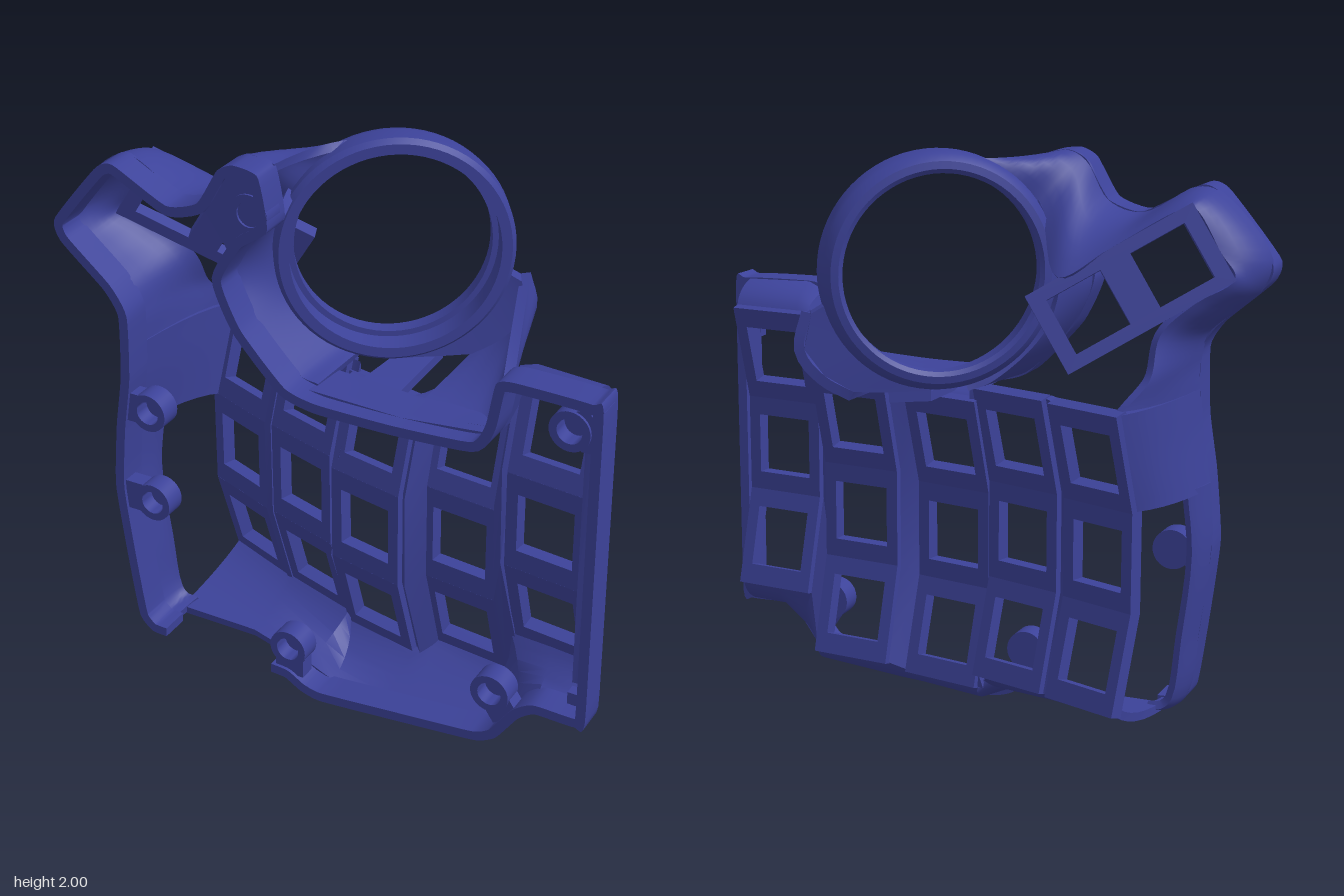
import * as THREE from 'three';
import { toCreasedNormals } from 'three/addons/utils/BufferGeometryUtils.js';

// Points default to the back edge of the base rim
const V = (x, y, z = 0.26) => new THREE.Vector3(x, y, z);

// Solid sheet: a grid of points (rows[j][i]) thickened by t against its normal.
function shellGeometry(rows, t) {
  const h = rows.length, w = rows[0].length, flat = rows.flat();
  const index = [];
  const quad = (a, b, c, d) => index.push(a, b, c, b, d, c);
  for (let j = 0; j < h - 1; j++)
    for (let i = 0; i < w - 1; i++) quad(j * w + i, j * w + i + 1, (j + 1) * w + i, (j + 1) * w + i + 1);
  const sheet = new THREE.BufferGeometry().setFromPoints(flat);
  sheet.setIndex([...index]);
  sheet.computeVertexNormals();
  const n = sheet.attributes.normal, N = w * h;
  const inner = flat.map((p, k) => p.clone().addScaledVector(new THREE.Vector3().fromBufferAttribute(n, k), -t));
  for (let j = 0; j < h - 1; j++)
    for (let i = 0; i < w - 1; i++) {
      const a = N + j * w + i;
      quad(a + 1, a, a + w + 1, a + w);
    }
  for (let i = 0; i < w - 1; i++) {
    quad(N + i, N + i + 1, i, i + 1);
    const a = (h - 1) * w + i;
    quad(a, a + 1, N + a, N + a + 1);
  }
  for (let j = 0; j < h - 1; j++) {
    const a = j * w, b = a + w - 1;
    quad(N + a, a, N + a + w, a + w);
    quad(b, N + b, b + w, N + b + w);
  }
  const g = new THREE.BufferGeometry().setFromPoints([...flat, ...inner]);
  g.setIndex(index);
  return toCreasedNormals(g, 0.6);
}

// Curved skirt from base points to edge points, bulging outwards (0.5 is straight).
function skirtGeometry(pairs, t = 0.03, smooth = 0, bulge = 0.75) {
  let base = pairs.map(p => p[0]), edge = pairs.map(p => p[1]);
  if (smooth) {
    const sample = pts => new THREE.CatmullRomCurve3(pts).getPoints((pts.length - 1) * smooth);
    base = sample(base);
    edge = sample(edge);
  }
  const rows = [];
  for (let j = 0; j <= 6; j++) {
    rows.push(base.map((b, i) => {
      const e = edge[i], mid = b.clone().lerp(e, 1 - bulge);
      mid.z = b.z + (e.z - b.z) * bulge;
      return new THREE.QuadraticBezierCurve3(b, mid, e).getPoint(j / 6);
    }));
  }
  return shellGeometry(rows, t);
}

// Rectangular plate with square key openings centred at the given x positions.
function keyPlateGeometry(w, h, centres, hw, hh, depth) {
  const rect = (Type, x, a, b) => new Type([[-a, -b], [a, -b], [a, b], [-a, b]].map(p => new THREE.Vector2(x + p[0], p[1])));
  const s = rect(THREE.Shape, 0, w / 2, h / 2);
  centres.forEach(x => s.holes.push(rect(THREE.Path, x, hw, hh)));
  return new THREE.ExtrudeGeometry(s, { depth, bevelEnabled: false });
}

export function createModel() {
  const model = new THREE.Group();
  model.name = 'keyboardCase';
  const blue = new THREE.MeshStandardMaterial({ color: 0x3c4299, side: THREE.DoubleSide });
  blue.name = 'indigoPlastic';
  const add = (name, geometry, parent = model) => {
    const m = new THREE.Mesh(geometry, blue);
    m.name = name;
    parent.add(m);
    return m;
  };

  // Key columns: x, y, z of the middle key and sideways tilt
  const columns = [
    [-0.53, 0.675, -0.045, 0.36], [-0.22, 0.68, 0.06, 0.3], [0.07, 0.635, 0.13, 0.2],
    [0.425, 0.675, 0.12, 0.1], [0.77, 0.87, 0.2, 0.1],
  ];
  const TILT = 0.26, PITCH = 0.35, HALF = 0.148;
  const endY = PITCH / 2 + PITCH * Math.cos(TILT), endZ = -PITCH * Math.sin(TILT);
  const profile = [[-endY, endZ], [-PITCH / 2, 0], [PITCH / 2, 0], [endY, endZ]];
  columns.forEach(([x, y, z, tilt], c) => {
    const column = new THREE.Group();
    column.name = 'keyColumn' + (c + 1);
    column.position.set(x, y, z);
    column.rotation.y = -tilt;
    model.add(column);
    for (const row of [-1, 0, 1]) {
      const g = keyPlateGeometry(HALF * 2, PITCH + 0.008, [0], 0.105, 0.107, 0.05);
      g.translate(0, 0, -0.025);
      const plate = add('keyPlate', g, column);
      plate.rotation.x = -row * TILT;
      const k = row * PITCH / 2;
      plate.position.set(0, k + k * Math.cos(TILT), -Math.abs(k) * Math.sin(TILT));
    }
  });
  // Point on a column edge: side -1 to 1, level 0 (bottom) to 3 (top)
  const edge = (c, side, level) => {
    const [x, y, z, a] = columns[c], [py, pz] = profile[level], s = side * HALF;
    return V(x + s * Math.cos(a) - pz * Math.sin(a), y + py, z + s * Math.sin(a) + pz * Math.cos(a));
  };
  const sideLine = (c, side) => [0, 1, 2, 3].map(l => edge(c, side, l));

  // Webs joining neighbouring columns
  for (let c = 0; c < 4; c++) add('columnWeb', shellGeometry([sideLine(c, 1), sideLine(c + 1, -1)], 0.03));

  // Wall from the last column's free side up to the rim
  add('outerColumnWall', shellGeometry([sideLine(4, 1), sideLine(4, 1).map(p => V(0.93, p.y, 0.27))], 0.02));

  // Base rim running clockwise round the case, open along the lower left edge
  const outline = [
    [-0.64, 0.06], [-0.7, 0.065], [-0.75, 0.12], [-0.785, 0.35], [-0.82, 0.65], [-0.8, 0.9], [-0.77, 1.1], [-0.765, 1.33],
    [-0.82, 1.42], [-0.98, 1.56], [-1, 1.64], [-0.82, 1.86], [-0.75, 1.885], [-0.55, 1.785], [-0.43, 1.82], [-0.35, 1.95],
    [-0.29, 1.98], [-0.2, 1.96], [-0.17, 1.78], [-0.27, 1.7], [-0.35, 1.56], [-0.28, 1.4], [-0.12, 1.23], [0, 1.2],
    [0.28, 1.2], [0.56, 1.22], [0.61, 1.3], [0.64, 1.45], [0.7, 1.47], [0.96, 1.465], [1, 1.42], [1, 0.3], [0.96, 0.25],
    [0.82, 0.25], [0.76, 0.21], [0.68, 0.1], [0.6, 0.06], [0.3, 0.03], [0, 0.003], [-0.08, 0.02], [-0.14, 0.055], [-0.2, 0.06],
  ];
  const loop = new THREE.CatmullRomCurve3(outline.map(p => V(p[0], p[1])), false, 'catmullrom', 0.25).getPoints(240);
  const rimRow = z => loop.map(p => V(Math.min(p.x, 1), Math.max(p.y, 0), z));
  add('baseRim', shellGeometry([rimRow(0.36), rimRow(0.3), rimRow(0.25)], 0.035));

  // Thumb plate with two keys, in its own tilted frame
  const u = V(0.8, -0.5, -0.43).normalize(), v = V(0.53, 0.85, 0).normalize();
  const n = u.clone().cross(v).normalize();
  v.copy(n).cross(u);
  const centre = V(-0.61, 1.575, -0.035);
  const thumb = new THREE.Group();
  thumb.name = 'thumbCluster';
  thumb.quaternion.setFromRotationMatrix(new THREE.Matrix4().makeBasis(u, v, n));
  thumb.position.copy(centre);
  model.add(thumb);
  add('thumbPlate', keyPlateGeometry(0.62, 0.29, [-0.155, 0.155], 0.1, 0.1, 0.05), thumb);
  const tp = (a, b) => centre.clone().addScaledVector(u, a * 0.31).addScaledVector(v, b * 0.145);

  // Tilted ball ring with an inner ledge
  const RING = V(0.035, 1.6, -0.1), YAW = 0.59;
  const ring = new THREE.Group();
  ring.name = 'ballRing';
  ring.position.copy(RING);
  ring.rotation.y = YAW;
  model.add(ring);
  const section = [[0.33, -0.05], [0.33, 0.005], [0.35, 0.005], [0.35, 0.09], [0.385, 0.09], [0.4, 0.07],
    [0.4, 0], [0.393, -0.03], [0.37, -0.055], [0.345, -0.06], [0.33, -0.05]];
  const lathe = new THREE.LatheGeometry(section.map(p => new THREE.Vector2(p[0], p[1])), 72);
  add('ringBand', toCreasedNormals(lathe, 0.6), ring).rotation.x = Math.PI / 2;
  const rp = (deg, r = 0.39) => {
    const a = deg * Math.PI / 180;
    return V(RING.x + r * Math.cos(a) * Math.cos(YAW), RING.y + r * Math.sin(a), RING.z - r * Math.cos(a) * Math.sin(YAW));
  };

  // Left side: low wall, then the shell sweeping round the thumb cluster to the ring
  add('leftWall', skirtGeometry([
    [V(-0.66, 0.06), V(-0.64, 0.08, 0.14)], [V(-0.71, 0.07), V(-0.69, 0.09, 0.14)], [V(-0.75, 0.12), V(-0.725, 0.13, 0.14)],
    [V(-0.785, 0.35), V(-0.755, 0.35, 0.14)], [V(-0.82, 0.65), V(-0.785, 0.65, 0.14)], [V(-0.81, 0.88), V(-0.77, 0.88, 0.12)],
  ], 0.03, 4));
  add('sideShell', skirtGeometry([
    [V(-0.81, 0.86), edge(0, -1, 2)],
    [V(-0.78, 1.05), edge(0, -1, 2).lerp(edge(0, -1, 3), 0.55)],
    [V(-0.765, 1.2), edge(0, -1, 3)],
  ], 0.03, 5));
  add('thumbShell', skirtGeometry([
    [V(-0.765, 1.2), V(-0.64, 1.2, -0.18)], [V(-0.765, 1.3), V(-0.7, 1.29, -0.09)],
    [V(-0.79, 1.39), tp(-0.1, -1).add(V(0, -0.04, 0))], [V(-0.88, 1.47), tp(-0.5, -1)],
    [V(-0.97, 1.55), tp(-1, -0.95)], [V(-1, 1.65), tp(-1, -0.3)],
    [V(-0.82, 1.865), tp(-0.98, 0.9)], [V(-0.74, 1.88), tp(-0.8, 1)],
    [V(-0.55, 1.785), tp(0, 1)], [V(-0.43, 1.82), tp(0.6, 1)],
    [V(-0.35, 1.95), rp(150)], [V(-0.29, 1.98), rp(130)], [V(-0.2, 1.965), rp(108)],
  ], 0.03, 6));

  // Inner wall between the rim and the ring
  add('ringWall', skirtGeometry([
    [V(-0.17, 1.78), rp(145, 0.375)], [V(-0.27, 1.7), rp(165, 0.375)], [V(-0.35, 1.56), rp(188)],
    [V(-0.28, 1.4), rp(212)], [V(-0.12, 1.23), rp(245)], [V(-0.05, 1.215), rp(257)],
  ], 0.03, 6, 0.5));

  // Chin filling the corner below the ring, in the ring's plane
  const chin = [V(0.06, 1.195, -0.115), V(0.18, 1.195, -0.19), V(0.28, 1.2, -0.255), V(0.36, 1.26, -0.31),
    V(0.415, 1.35, -0.345), V(0.395, 1.47, -0.33)];
  const arc = [272, 290, 305, 318, 332, 346].map(a => rp(a, 0.37));
  add('ringChin', shellGeometry([chin, arc], -0.06));

  // Shelf and arm running from the chin to the rim, with an opening between
  add('ringShelf', skirtGeometry([
    [V(0.04, 1.2, 0.22), chin[0]], [V(0.12, 1.2, 0.22), chin[0].clone().lerp(chin[1], 0.5)], [V(0.2, 1.2, 0.22), chin[1]],
  ], 0.035, 4, 0.5));
  add('ringArm', skirtGeometry([
    [V(0.29, 1.2, 0.22), chin[2]], [V(0.43, 1.205, 0.22), chin[3]], [V(0.56, 1.22, 0.24), chin[4]], [V(0.6, 1.27, 0.26), chin[5]],
  ], 0.035, 4, 0.5));
  add('shelfBridge', skirtGeometry([
    [V(-0.07, 1.21, 0.3), V(-0.05, 1.2, 0.12)], [V(0.28, 1.2, 0.3), V(0.28, 1.2, 0.15)], [V(0.58, 1.23, 0.3), V(0.56, 1.22, 0.15)],
  ], 0.025));

  // Upper skirts joining the rim to the column tops
  add('upperSkirt', skirtGeometry([
    [V(0, 1.2), edge(2, -1, 3)], [V(0.2, 1.2), edge(2, 1, 3)], [V(0.3, 1.2), edge(3, -1, 3)], [V(0.58, 1.23), edge(3, 1, 3)],
    [V(0.64, 1.44), edge(4, -1, 3)], [V(0.7, 1.47), edge(4, -0.7, 3)], [V(0.94, 1.465), edge(4, 1, 3)],
  ]));

  // Lower skirt, right to left, shallower behind the open part of the rim
  add('lowerSkirt', skirtGeometry([
    [V(0.94, 0.25), edge(4, 1, 0)], [V(0.8, 0.245), edge(4, 0, 0)], [V(0.73, 0.17), edge(4, -1, 0)],
    [V(0.62, 0.065), edge(3, 1, 0)], [V(0.3, 0.03), edge(3, -1, 0)], [V(0.22, 0.022), edge(2, 1, 0)],
    [V(0, 0.003), edge(2, -1, 0)], [V(-0.1, 0.045), edge(1, 1, 0)], [V(-0.36, 0.06, 0.2), edge(1, -1, 0)],
    [V(-0.4, 0.06, 0.2), edge(0, 1, 0)], [V(-0.67, 0.06, 0.2), edge(0, -1, 0)],
  ], 0.03, 0, 0.72));

  // Ledges closing both ends of the slot beside the last column
  for (const [y, h] of [[1.35, 0.2], [0.295, 0.07]])
    add('slotEnd', new THREE.BoxGeometry(0.08, h, 0.04)).position.set(0.945, y, 0.275);

  // Flat pad between the thumb cluster and the ring
  const pad = new THREE.Shape([[-0.41, 1.8], [-0.34, 1.95], [-0.29, 1.97], [-0.2, 1.95], [-0.175, 1.79], [-0.27, 1.7], [-0.33, 1.68]]
    .map(p => new THREE.Vector2(p[0], p[1])));
  add('cornerPad', new THREE.ExtrudeGeometry(pad, { depth: 0.05, bevelEnabled: false })).position.z = 0.3;

  // Screw bosses with blind holes, each with a tab towards the rim
  const bossProfile = [[0, -0.04], [0.07, -0.04], [0.07, 0.04], [0.043, 0.04], [0.043, -0.02], [0, -0.02]]
    .map(p => new THREE.Vector2(p[0], p[1]));
  const bossGeometry = toCreasedNormals(new THREE.LatheGeometry(bossProfile, 28), 0.6);
  const bosses = [[-0.24, 1.82, -0.1, 0.04], [0.89, 1.35, 0.08, 0.04], [-0.67, 0.98, -0.1, 0],
    [-0.67, 0.62, -0.12, 0], [-0.13, 0.18, 0, -0.11], [0.65, 0.27, 0.06, -0.09]];
  bosses.forEach(([x, y, dx, dy]) => {
    const boss = new THREE.Group();
    boss.name = 'screwBoss';
    boss.position.set(x, y, 0.318);
    model.add(boss);
    add('bossCup', bossGeometry, boss).rotation.x = Math.PI / 2;
    const length = Math.hypot(dx, dy) - 0.045;
    const tab = add('bossTab', new THREE.BoxGeometry(length, 0.11, 0.06), boss);
    tab.rotation.z = Math.atan2(dy, dx);
    tab.position.set(dx, dy, 0).multiplyScalar((0.045 + length / 2) / (length + 0.045));
  });

  return model;
}
